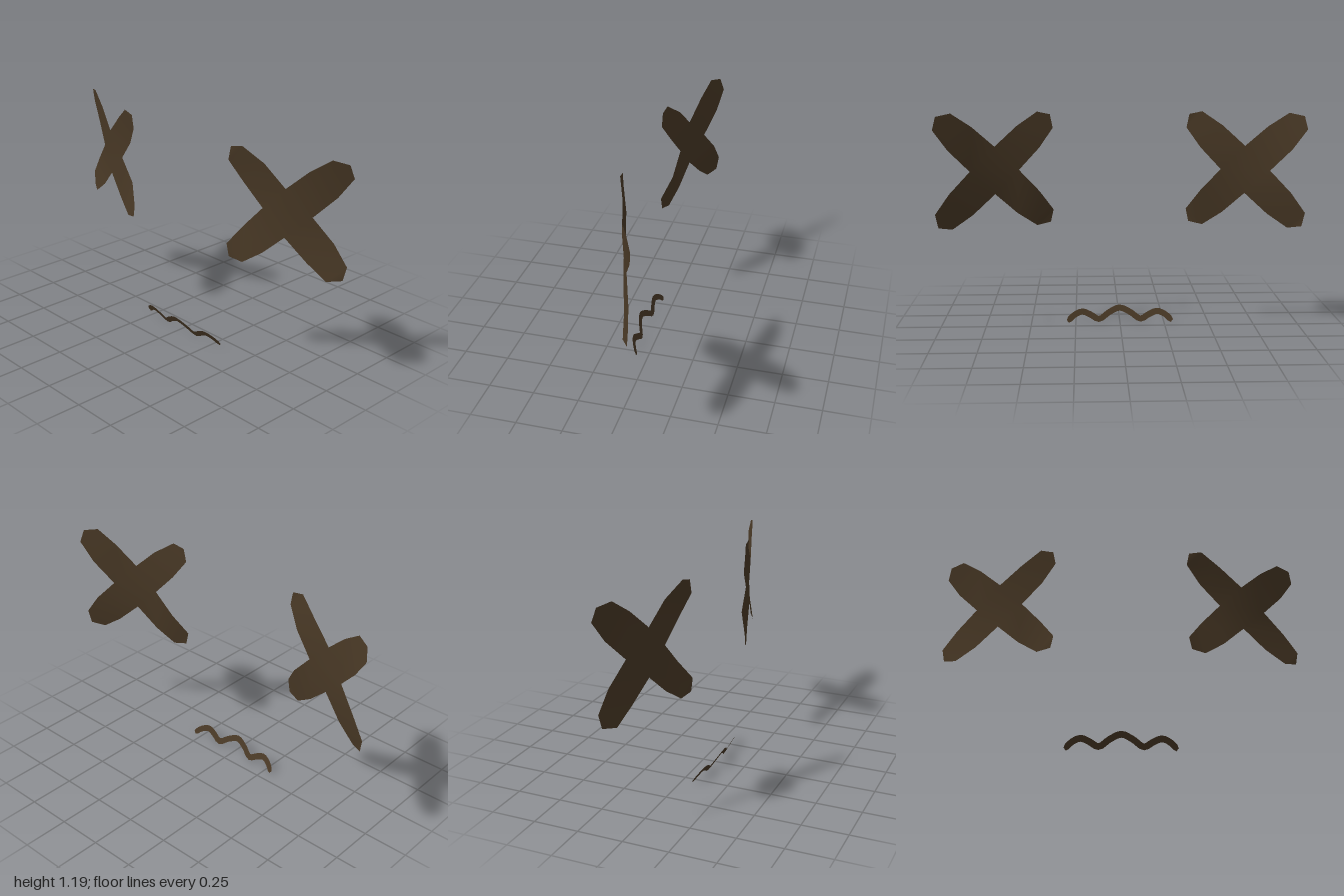
import * as THREE from 'three';

function surface(positions, indices) {
  const g = new THREE.BufferGeometry();
  g.setAttribute('position', new THREE.Float32BufferAttribute(positions, 3));
  g.setIndex(indices);
  g.computeVertexNormals();
  return g;
}

// Cross-shaped eye: one arm outline turned four times, bent back around the face
function eyeGeometry(side) {
  const arm = [[0.13, 0], [0.24, 0.12], [0.315, 0.23], [0.3, 0.3], [0.225, 0.315], [0.118, 0.24]];
  const depth = [
    [-0.05, -0.1, -0.125, -0.105, -0.065, -0.03],
    [0.01, 0.04, 0.085, 0.093, 0.095, 0.06],
    [0.032, 0.05, 0.1, 0.097, 0.075, 0.04],
    [0.007, -0.03, -0.055, -0.097, -0.107, -0.09],
  ];
  const positions = [side * 0.685, 0.88, 0.003];
  const indices = [];
  const centre = -1;
  const pattern = [centre, 0, 6, 0, 1, 5, 0, 5, 6, 1, 2, 4, 1, 4, 5, 2, 3, 4];
  for (let k = 0; k < 4; k++) {
    const c = Math.round(Math.cos(k * Math.PI / 2)), s = Math.round(Math.sin(k * Math.PI / 2));
    arm.forEach(([x, y], i) => {
      positions.push(side * (0.685 + x * c - y * s), 0.88 + x * s + y * c, depth[k][i]);
    });
    for (let t = 0; t < pattern.length; t += 3) {
      const tri = pattern.slice(t, t + 3).map((i) => (i === centre ? 0 : 1 + (6 * k + i) % 24));
      indices.push(...(side > 0 ? tri : tri.reverse()));
    }
  }
  return surface(positions, indices);
}

// Wavy mouth: a ribbon along a curve, leaning forward towards its top
function mouthGeometry() {
  const half = [[0.06, 0.053], [0.118, 0.019], [0.165, 0.042], [0.213, 0.06], [0.26, 0.043], [0.295, 0.012]];
  const points = [...half.map(([x, y]) => [-x, y]).reverse(), [0, 0.076], ...half]
    .map(([x, y]) => new THREE.Vector3(x, y, 0));
  const curve = new THREE.CatmullRomCurve3(points);
  const segments = 40;
  const positions = [], indices = [];
  for (let i = 0; i <= segments; i++) {
    const u = i / segments;
    const p = curve.getPointAt(u), t = curve.getTangentAt(u);
    const w = 0.016 * (i === 0 || i === segments ? 0.6 : 1);
    for (const e of [-1, 1]) {
      const x = p.x - t.y * w * e;
      const y = Math.max(0, p.y + t.x * w * e);
      positions.push(x, y, 0.081 - 0.27 * x * x + 0.5 * y);
    }
    if (i < segments) {
      const a = 2 * i;
      indices.push(a, a + 2, a + 3, a, a + 3, a + 1);
    }
  }
  return surface(positions, indices);
}

export function createModel() {
  const group = new THREE.Group();
  group.name = 'face';
  const darkBrown = new THREE.MeshStandardMaterial({ color: 0x483825, side: THREE.DoubleSide });
  darkBrown.name = 'darkBrown';

  const add = (name, geometry) => {
    const mesh = new THREE.Mesh(geometry, darkBrown);
    mesh.name = name;
    group.add(mesh);
  };
  add('leftEye', eyeGeometry(1));
  add('rightEye', eyeGeometry(-1));
  add('mouth', mouthGeometry());
  return group;
}
